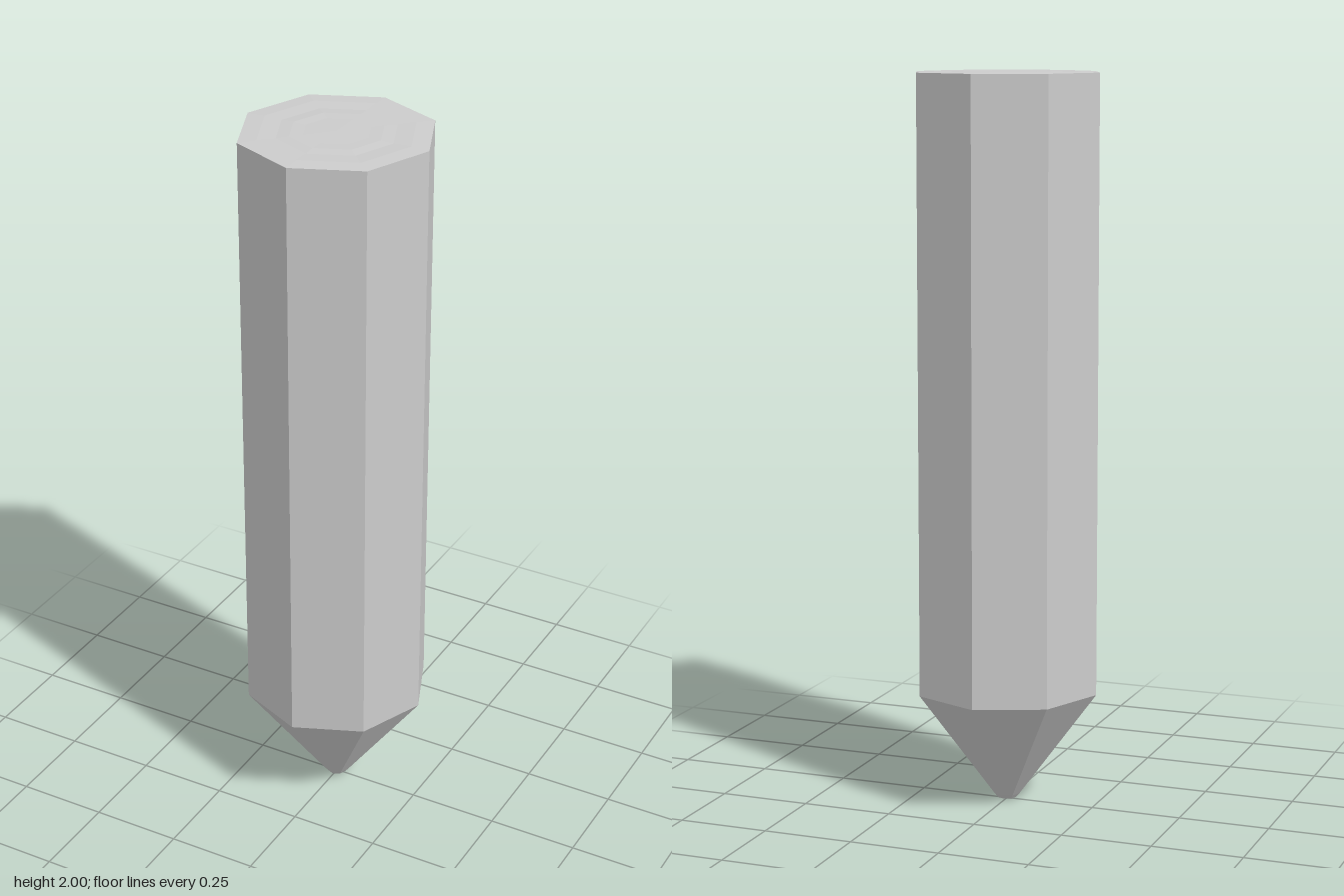
import * as THREE from 'three';

const SIDES = 8;

// Eight-sided faceted shell from a profile of [radius, height], bottom to top
function facetedPart(name, profile) {
  const points = profile.map(([r, y]) => new THREE.Vector2(r, y));
  const material = new THREE.MeshStandardMaterial({ color: 0xcccccc, flatShading: true });
  const mesh = new THREE.Mesh(new THREE.LatheGeometry(points, SIDES), material);
  mesh.name = name;
  return mesh;
}

export function createModel() {
  const group = new THREE.Group();
  group.name = 'pencil';
  group.add(
    // blunt point
    facetedPart('leadTip', [[0, 0], [0.027, 0.005], [0.037, 0.017]]),
    // tapered, sharpened end
    facetedPart('sharpenedCone', [[0.037, 0.017], [0.26, 0.32]]),
    // long octagonal body
    facetedPart('barrel', [[0.26, 0.32], [0.26, 1.998]]),
    // flat end with very faint concentric rings
    facetedPart('endCap', [
      [0.26, 1.998], [0.21, 2], [0.16, 1.998], [0.125, 2], [0.09, 1.999], [0, 2],
    ]),
  );
  return group;
}
